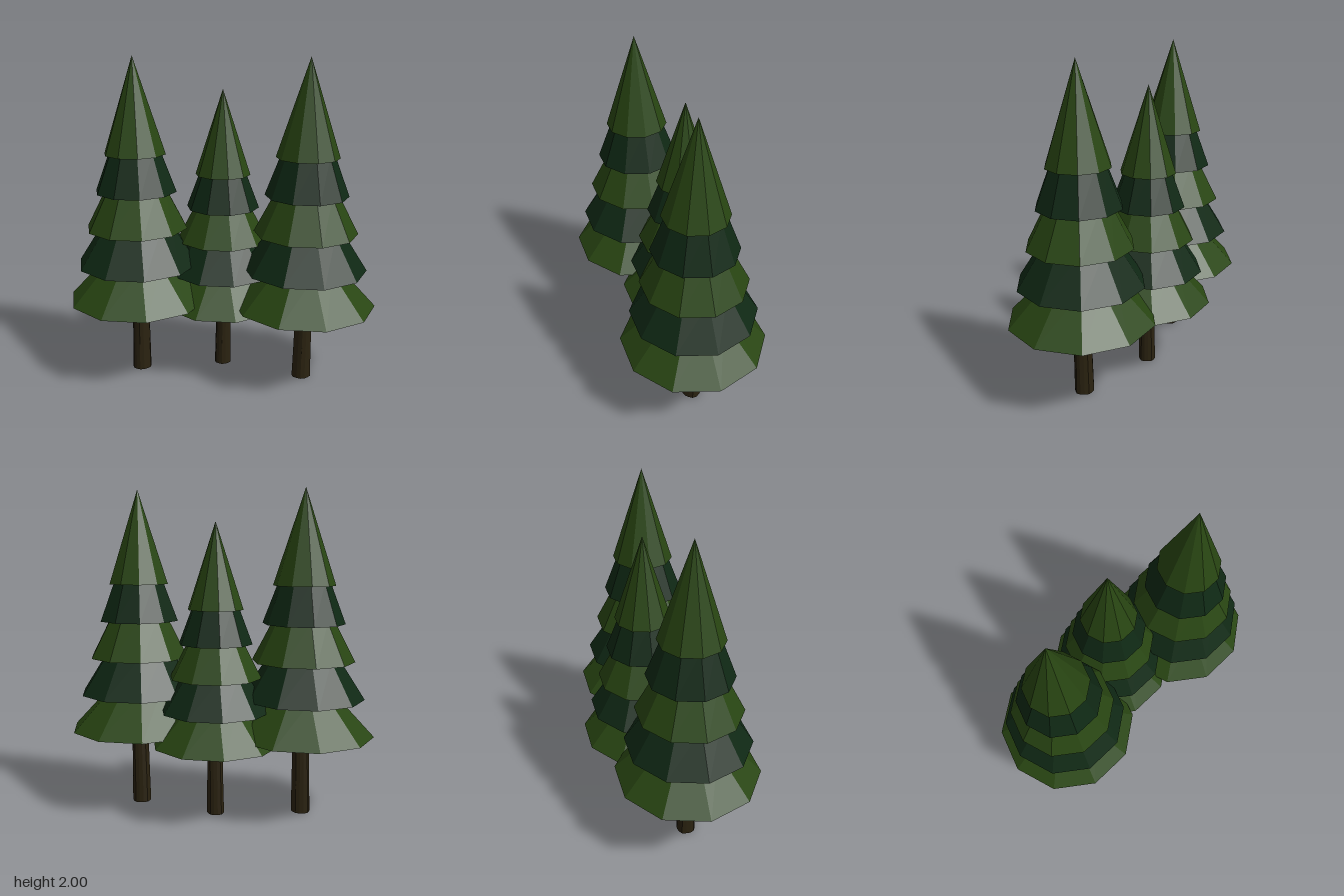
import * as THREE from 'three';

const flat = (hex) => new THREE.MeshStandardMaterial({ color: hex, flatShading: true });

// Slightly crooked bark: ribs around the trunk and a small lean towards +x
function trunkGeometry() {
  const geo = new THREE.CylinderGeometry(0.05, 0.059, 0.56, 14, 3);
  geo.translate(0, 0.28, 0);
  const p = geo.attributes.position;
  for (let i = 0; i < p.count; i++) {
    const x = p.getX(i), y = p.getY(i), z = p.getZ(i);
    const a = Math.atan2(z, x);
    const k = 1 + 0.035 * Math.sin(a * 5 + 1) + 0.02 * Math.cos(a * 3 + y * 6);
    p.setXYZ(i, x * k + 0.012 * y, y, z * k);
  }
  return geo.toNonIndexed();
}

export function createModel() {
  const lightGreen = flat(0x284512);
  const darkGreen = flat(0x0f2814);
  const bark = flat(0x2a2210);
  lightGreen.name = 'light green needles';
  darkGreen.name = 'dark green needles';
  bark.name = 'dark brown bark';

  // Foliage tiers: lower y, lower radius, upper y, upper radius
  const tiers = [
    [0.5, 0.44, 0.75, 0.205],
    [0.73, 0.378, 0.98, 0.217],
    [0.96, 0.315, 1.21, 0.185],
    [1.19, 0.252, 1.44, 0.157],
    [1.42, 0.19, 2.0, 0],
  ];

  function makeTree(name, x, z, scale) {
    const tree = new THREE.Group();
    tree.name = name;
    const trunk = new THREE.Mesh(trunkGeometry(), bark);
    trunk.geometry.computeVertexNormals();
    trunk.name = 'trunk';
    tree.add(trunk);

    // Ten-sided tiers in alternating greens, corners pointing along x
    tiers.forEach(([y0, r0, y1, r1], i) => {
      const geo = new THREE.CylinderGeometry(r1, r0, y1 - y0, 10, 1, false, Math.PI / 2);
      const tier = new THREE.Mesh(geo, i % 2 ? darkGreen : lightGreen);
      tier.position.y = (y0 + y1) / 2;
      tier.name = 'foliageTier' + (i + 1);
      tree.add(tier);
    });
    tree.position.set(x, 0, z);
    tree.scale.setScalar(scale);
    return tree;
  }

  const model = new THREE.Group();
  model.name = 'pineTrees';
  model.add(
    makeTree('leftTree', 0.52, 0.045, 1),
    makeTree('rightTree', -0.52, 0.045, 1),
    makeTree('middleTree', 0, -0.087, 0.9),
  );
  return model;
}
